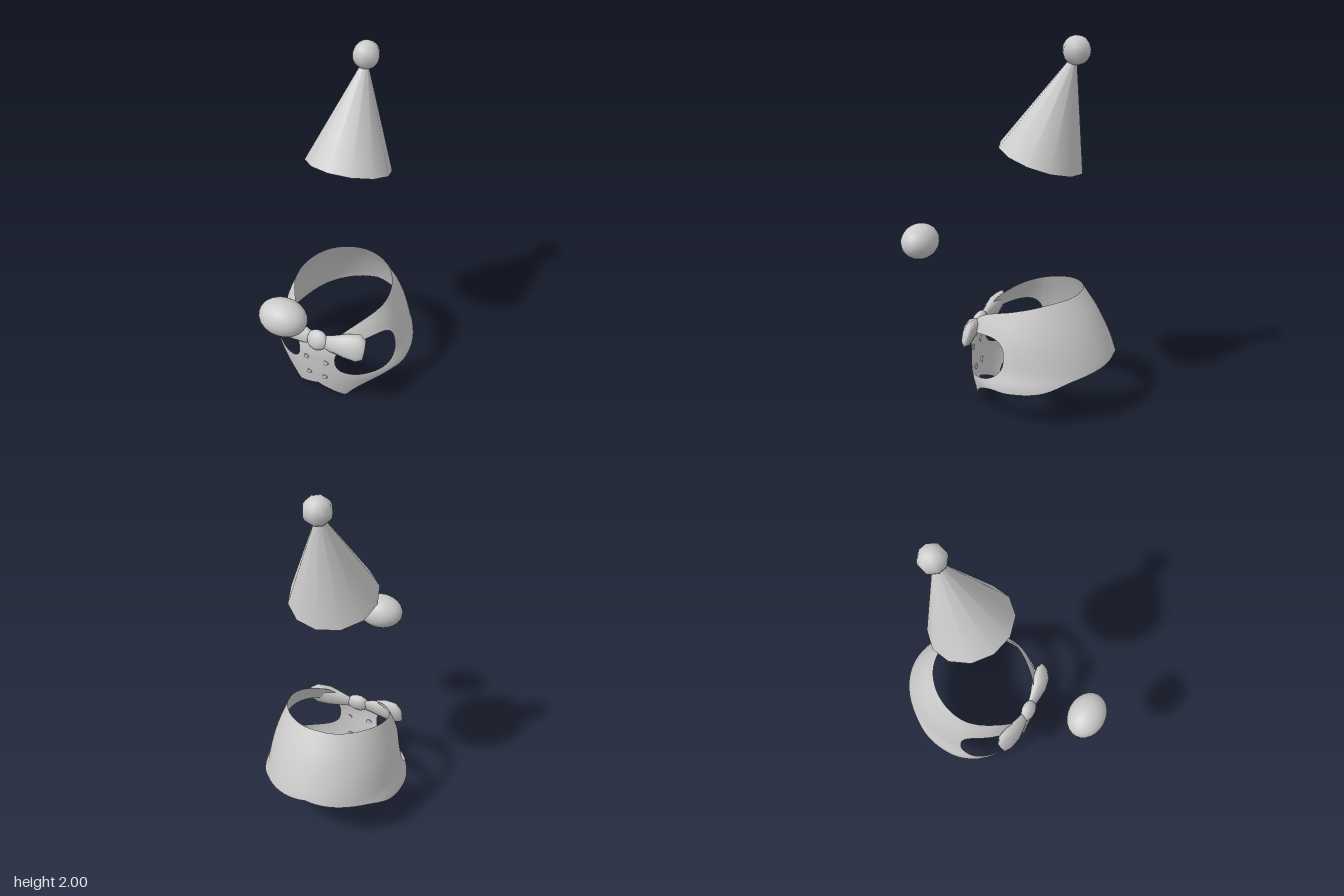
import * as THREE from 'three';
import { mergeGeometries, mergeVertices } from 'three/addons/utils/BufferGeometryUtils.js';

const mat = (side = THREE.FrontSide) => new THREE.MeshStandardMaterial({ color: 0xcccccc, side });

function mesh(name, geometry, parent, side) {
  const m = new THREE.Mesh(geometry, mat(side));
  m.name = name;
  parent.add(m);
  return m;
}

// Smooth interpolation through [x, value] knots
function curve(knots) {
  const slope = (i) => {
    const p = knots[Math.max(i - 1, 0)], q = knots[Math.min(i + 1, knots.length - 1)];
    return (q[1] - p[1]) / (q[0] - p[0]);
  };
  return (x) => {
    x = THREE.MathUtils.clamp(x, knots[0][0], knots[knots.length - 1][0]);
    let i = 0;
    while (i < knots.length - 2 && x > knots[i + 1][0]) i++;
    const [x0, y0] = knots[i], [x1, y1] = knots[i + 1], h = x1 - x0, t = (x - x0) / h;
    const t2 = t * t, t3 = t2 * t;
    return (2 * t3 - 3 * t2 + 1) * y0 + (t3 - 2 * t2 + t) * h * slope(i)
      + (3 * t2 - 2 * t3) * y1 + (t3 - t2) * h * slope(i + 1);
  };
}

// Grid surface from point(i, j), with i running along and j running across
function grid(nu, nv, point) {
  const pos = [], idx = [];
  for (let i = 0; i <= nu; i++) for (let j = 0; j <= nv; j++) pos.push(...point(i, j));
  for (let i = 0; i < nu; i++) for (let j = 0; j < nv; j++) {
    const a = i * (nv + 1) + j, b = a + nv + 1;
    idx.push(a, b, b + 1, a, b + 1, a + 1);
  }
  const g = new THREE.BufferGeometry();
  g.setAttribute('position', new THREE.Float32BufferAttribute(pos, 3));
  g.setIndex(idx);
  return g;
}

// Body surface: half width, front depth and back depth by height
const halfWidth = curve([[0, 0.3], [0.1, 0.36], [0.2, 0.4], [0.3, 0.373], [0.45, 0.34], [0.6, 0.285], [0.67, 0.25]]);
const frontDepth = curve([[0, 0.3], [0.11, 0.32], [0.23, 0.335], [0.36, 0.34], [0.5, 0.3], [0.57, 0.26], [0.67, 0.23]]);
const backDepth = curve([[0.2, 0.465], [0.33, 0.445], [0.52, 0.36], [0.67, 0.26]]);
const CENTRE_Z = -0.16;
function bodyPoint(angle, y) {
  const c = Math.cos(angle);
  return [Math.sin(angle) * halfWidth(y), y, CENTRE_Z + c * (c > 0 ? frontDepth(y) : backDepth(y))];
}

// Edges by angle from the front (0) to the back (PI)
const neckline = curve([[0, 0.36], [0.25, 0.43], [0.51, 0.505], [0.93, 0.567], [1.57, 0.615], [2.2, 0.65], [Math.PI, 0.665]]);
const hem = curve([[0, 0.08], [0.25, 0.045], [0.5, 0.01], [0.53, 0.01], [0.62, 0.065], [0.75, 0.12],
  [0.95, 0.17], [1.2, 0.198], [1.5, 0.198], [1.9, 0.213], [2.3, 0.27], [Math.PI, 0.325]]);
const HOLE_MID = 0.855, HOLE_HALF = 0.545;
function armhole(angle, height) {
  const t = THREE.MathUtils.clamp((angle - HOLE_MID) / HOLE_HALF, -1, 1);
  return 0.325 + 0.035 * t + height * Math.pow(Math.max(0, 1 - Math.abs(t) ** 2.6), 1 / 2.6);
}

function buildVest() {
  const vest = new THREE.Group();
  vest.name = 'vest';
  // Columns: denser at the ends of the armhole
  const start = HOLE_MID - HOLE_HALF, end = HOLE_MID + HOLE_HALF, half = [];
  for (let i = 0; i < 6; i++) half.push((start * i) / 6);
  for (let i = 0; i < 32; i++) half.push(HOLE_MID - HOLE_HALF * Math.cos((Math.PI * i) / 32));
  for (let i = 0; i <= 20; i++) half.push(end + ((Math.PI - end) * i) / 20);
  const angles = [...half.slice(1).reverse().map((a) => -a), ...half];

  // One strip above the armholes, one below; they join elsewhere
  const strip = (low, high) => grid(angles.length - 1, 8, (i, j) => {
    const a = Math.abs(angles[i]);
    return bodyPoint(angles[i], THREE.MathUtils.lerp(low(a), high(a), j / 8));
  });
  const cloth = mergeVertices(mergeGeometries([
    strip(hem, (a) => armhole(a, -0.1)),
    strip((a) => armhole(a, 0.125), neckline),
  ]), 1e-4);
  cloth.computeVertexNormals();
  mesh('vestCloth', cloth, vest, THREE.DoubleSide);

  // Two rows of buttons
  for (const side of [-1, 1]) for (const [x, y] of [[0.062, 0.277], [0.05, 0.157]]) {
    const button = mesh('button', new THREE.CylinderGeometry(0.014, 0.017, 0.012, 12), vest);
    button.position.set(...bodyPoint(side * Math.asin(x / halfWidth(y)), y));
    button.rotation.x = Math.PI / 2;
  }
  return vest;
}

function buildBowTie() {
  const bow = new THREE.Group();
  bow.name = 'bowTie';
  // Wing sections: x, centre y, centre z, half height, half depth
  const sections = [[0.03, 0, 0, 0.01, 0.005], [0.05, 0, 0, 0.042, 0.016], [0.09, 0.005, 0, 0.052, 0.025],
    [0.17, 0.02, -0.005, 0.074, 0.042], [0.24, 0.028, -0.015, 0.086, 0.034],
    [0.275, 0.025, -0.022, 0.062, 0.016], [0.28, 0.025, -0.024, 0.001, 0.001]];
  for (const side of [-1, 1]) {
    const wing = mergeVertices(grid(sections.length - 1, 8, (i, j) => {
      const [x, y, z, h, d] = sections[i], a = side * (j / 8) * Math.PI * 2;
      return [side * x, y + h * Math.cos(a), z + d * Math.sin(a)];
    }), 1e-5);
    wing.computeVertexNormals();
    mesh(side > 0 ? 'leftWing' : 'rightWing', wing, bow, THREE.DoubleSide);
  }
  const knot = mesh('knot', new THREE.SphereGeometry(1, 10, 8), bow);
  knot.scale.set(0.066, 0.06, 0.036);
  knot.position.z = 0.005;
  bow.position.set(0, 0.412, 0.155);
  bow.rotation.x = -0.33;
  return bow;
}

function buildHat() {
  const hat = new THREE.Group();
  hat.name = 'hat';
  const H = 0.535;
  mesh('hatCone', new THREE.CylinderGeometry(0.02, 0.234, H, 12, 1, true).translate(0, H / 2, 0), hat);
  mesh('hatLining', new THREE.CylinderGeometry(0.008, 0.205, H, 12, 1, true).translate(0, H / 2, 0), hat, THREE.BackSide);
  mesh('hatRim', new THREE.RingGeometry(0.205, 0.234, 12).rotateX(Math.PI / 2), hat);
  mesh('pompom', new THREE.SphereGeometry(0.075, 8, 8), hat).position.y = 0.587;
  hat.position.set(0, 1.37, -0.19);
  hat.rotation.x = -0.308;
  return hat;
}

export function createModel() {
  const model = new THREE.Group();
  model.name = 'costume';
  model.add(buildVest(), buildBowTie(), buildHat());
  const nose = mesh('nose', new THREE.SphereGeometry(1, 24, 16), model);
  nose.scale.set(0.132, 0.098, 0.103);
  nose.position.set(0, 0.842, 0.505);
  return model;
}
